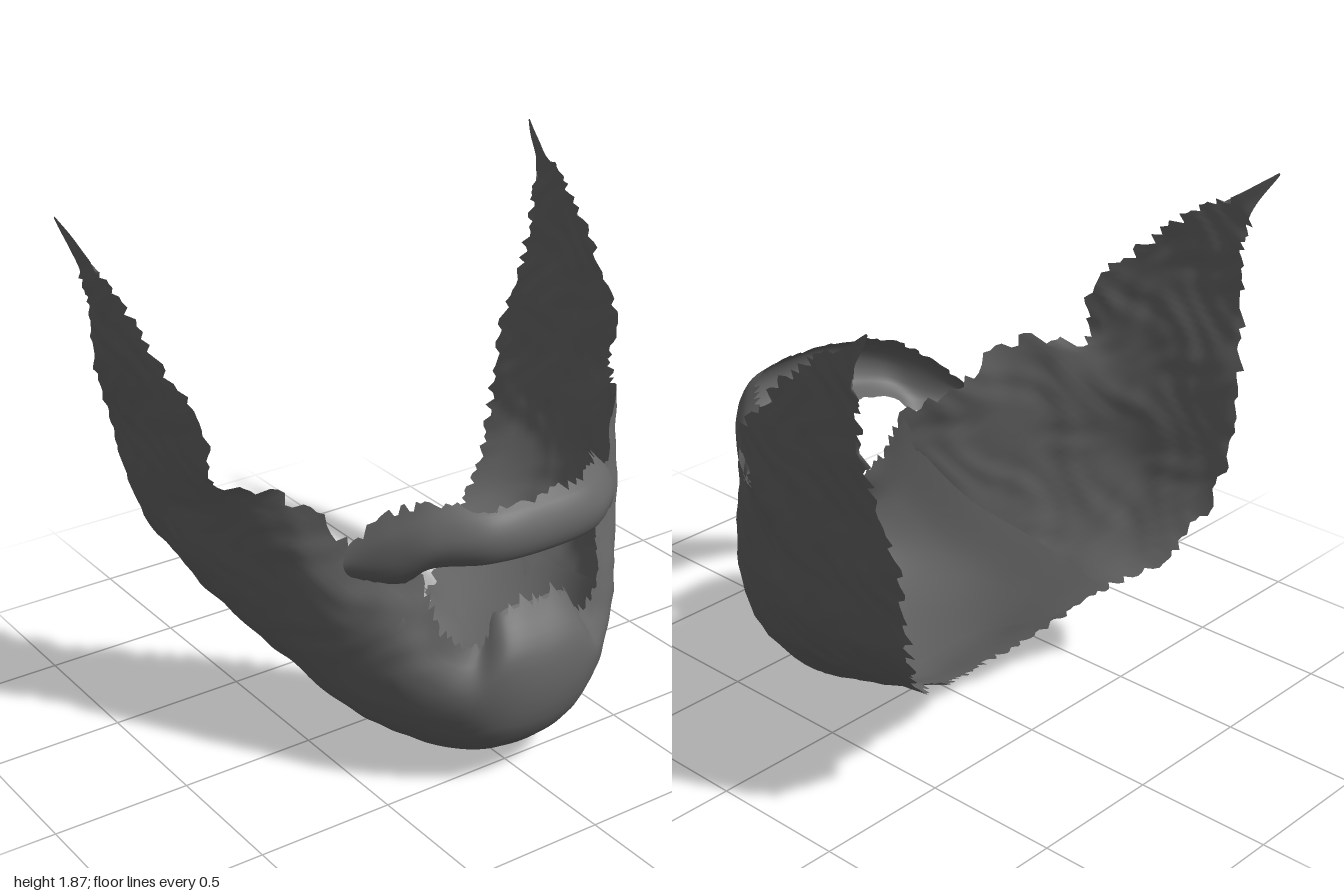
import * as THREE from 'three';

const V = (p) => new THREE.Vector3(...p);

// small seeded generator for the ragged hair edges
function seeded(seed) {
  let s = seed;
  return () => ((s = (s * 16807) % 2147483647) / 2147483647);
}

// half list of sections (centre first) -> full list from right to left
function mirrored(half) {
  const flip = half.slice(1).reverse().map((sec) => sec.map(([x, y, z]) => [-x, y, z]));
  return [...flip, ...half];
}

// the jaw leans a little to the left at mid height
const leaning = (sections) => sections.map((sec) => sec.map(([x, y, z]) =>
  [x + 0.028 * Math.sin(Math.PI * Math.min(1, y / 1.35)), y, z]));

// irregular soft lumps
function lumps({ x, y, z }) {
  const big = Math.sin(x * 13 + y * 5 + 2 * Math.sin(z * 9)) * Math.sin(y * 12 - z * 7);
  const small = Math.sin(y * 29 + 2 * Math.sin(z * 13 + x * 4)) * Math.sin(z * 33 + 2 * Math.sin(y * 17));
  return 0.5 * big + 0.5 * small;
}

// smooth sheet through cross-sections; options: ragged edges, bumps, inward offset, trimmed end
function loft(sections, nu, nv, { ragTop = 0, ragEnd = 0, bump = 0, seed = 7, inset = null, end = null }) {
  const rnd = seeded(seed);
  const curves = sections.map((s) => new THREE.CatmullRomCurve3(s.map(V)));
  const grid = Array.from({ length: nu + 1 }, () => []);
  for (let j = 0; j <= nv; j++) {
    for (let i = 0; i <= nu; i++) {
      const u = i / nu;
      const stop = end ? end(Math.abs(2 * u - 1)) : 1;
      grid[i].push(new THREE.CatmullRomCurve3(curves.map((c) => c.getPoint((j / nv) * stop))).getPoint(u));
    }
  }
  // push the end rows in and out to form tufts
  for (const col of grid) {
    const shift = (a, b, amt) => {
      const d = col[a].clone().sub(col[b]);
      if (d.length() > 0.004) col[a].addScaledVector(d.normalize(), (rnd() - 0.4) * amt);
    };
    shift(0, 1, ragTop);
    shift(nv, nv - 1, ragEnd);
  }
  const geo = new THREE.BufferGeometry().setFromPoints(grid.flat());
  const index = [];
  const w = nv + 1;
  for (let i = 0; i < nu; i++) {
    for (let j = 0; j < nv; j++) {
      const a = i * w + j;
      index.push(a, a + 1, a + w, a + 1, a + w + 1, a + w);
    }
  }
  geo.setIndex(index);
  geo.computeVertexNormals();
  // lumps and the inner layer's offset run along the normals
  const pos = geo.attributes.position;
  const nor = geo.attributes.normal;
  const p = new THREE.Vector3();
  const n = new THREE.Vector3();
  for (let k = 0; k < pos.count; k++) {
    p.fromBufferAttribute(pos, k);
    n.fromBufferAttribute(nor, k);
    const i = Math.floor(k / w), j = k % w;
    let d = bump * lumps(p) * Math.min(1, Math.abs(p.x) / 0.5);
    if (inset) d -= inset(Math.abs((2 * i) / nu - 1), j / nv);
    p.addScaledVector(n, d);
    pos.setXYZ(k, p.x, Math.max(0, p.y), p.z);
  }
  geo.computeVertexNormals();
  return geo;
}

// chin and jaw sections, from the lip or cheek edge down to the neck edge
const CHIN = [
  [[0, .68, .61], [0, .5, .715], [0, .2, .665], [0, .02, .38], [0, .018, .05], [0, .1, -.18]],
  [[.13, .67, .6], [.16, .5, .695], [.16, .21, .64], [.15, .04, .37], [.12, .045, .03], [.1, .13, -.21]],
  [[.22, .55, .59], [.27, .42, .645], [.3, .22, .54], [.3, .105, .28], [.26, .11, -.02], [.2, .19, -.28]],
  [[.33, .6, .55], [.4, .45, .54], [.45, .29, .4], [.46, .21, .17], [.41, .225, -.1], [.32, .29, -.37]],
  [[.38, .8, .47], [.48, .62, .46], [.56, .45, .3], [.6, .375, .06], [.56, .36, -.18], [.45, .385, -.46]],
];
const CHEEK = [
  [[.53, .92, .34], [.61, .75, .3], [.685, .62, .13], [.715, .53, -.08], [.695, .49, -.3], [.61, .47, -.57]],
  [[.69, 1.09, .2], [.745, .95, .12], [.785, .83, -.03], [.815, .735, -.2], [.805, .68, -.4], [.74, .62, -.65]],
];
// sideburn sections given by front edge, back edge and outward bulge
const SIDEBURN = [
  [[.85, 1.11, -.02], [.815, .84, -.7], .04],
  [[.87, 1.3, -.01], [.87, 1.1, -.69], .035],
  [[.92, 1.5, -.2], [.925, 1.36, -.63], .018],
  [[.95, 1.67, -.4], [.95, 1.58, -.6], .006],
  [[.97, 1.77, -.56], [.97, 1.72, -.62], 0],
  [[1, 1.87, -.7], [1, 1.865, -.705], 0],
].map(([a, b, bulge]) => Array.from({ length: 6 }, (_, k) => {
  const p = V(a).lerp(V(b), k / 5);
  p.x += bulge * Math.sin((Math.PI * k) / 5);
  return p.toArray();
}));

// moustache sections, from upper to lower edge
const MOUSTACHE = [
  [[0, 1.1, .68], [0, 1.07, .71], [0, 1, .735], [0, .92, .71], [0, .885, .61]],
  [[.2, 1.1, .65], [.21, 1.07, .685], [.22, 1, .71], [.21, .92, .685], [.2, .885, .59]],
  [[.34, 1.1, .52], [.36, 1.05, .57], [.37, .98, .6], [.36, .91, .58], [.34, .87, .52]],
  [[.42, 1.04, .41], [.45, 1, .47], [.46, .93, .49], [.45, .86, .49], [.41, .81, .46]],
  [[.54, .92, .32], [.55, .9, .335], [.56, .87, .34], [.55, .84, .345], [.53, .82, .35]],
];

export function createModel() {
  const group = new THREE.Group();
  group.name = 'beard';
  const hair = new THREE.MeshStandardMaterial({ color: 0x666666, side: THREE.DoubleSide });
  hair.name = 'hairGrey';
  const add = (name, geo) => {
    const mesh = new THREE.Mesh(geo, hair);
    mesh.name = name;
    group.add(mesh);
  };

  // outer beard from ear to ear
  const outer = leaning(mirrored([...CHIN, ...CHEEK, ...SIDEBURN]));
  add('beardShell', loft(outer, 260, 28, { ragTop: .06, ragEnd: .05, bump: .009 }));

  // thin inner layer behind the chin, ending short of the neck edge in the middle
  add('chinLining', loft(leaning(mirrored(CHIN)), 96, 24, {
    inset: (s, v) => .004 + .028 * (1 - s) * Math.min(1, v * 4),
    end: (s) => .81 + .19 * THREE.MathUtils.smoothstep(s, .42, .75),
  }));

  // moustache bridging the cheeks
  add('moustache', loft(mirrored(MOUSTACHE), 80, 12, { ragTop: .05, ragEnd: .015, seed: 31 }));
  return group;
}
